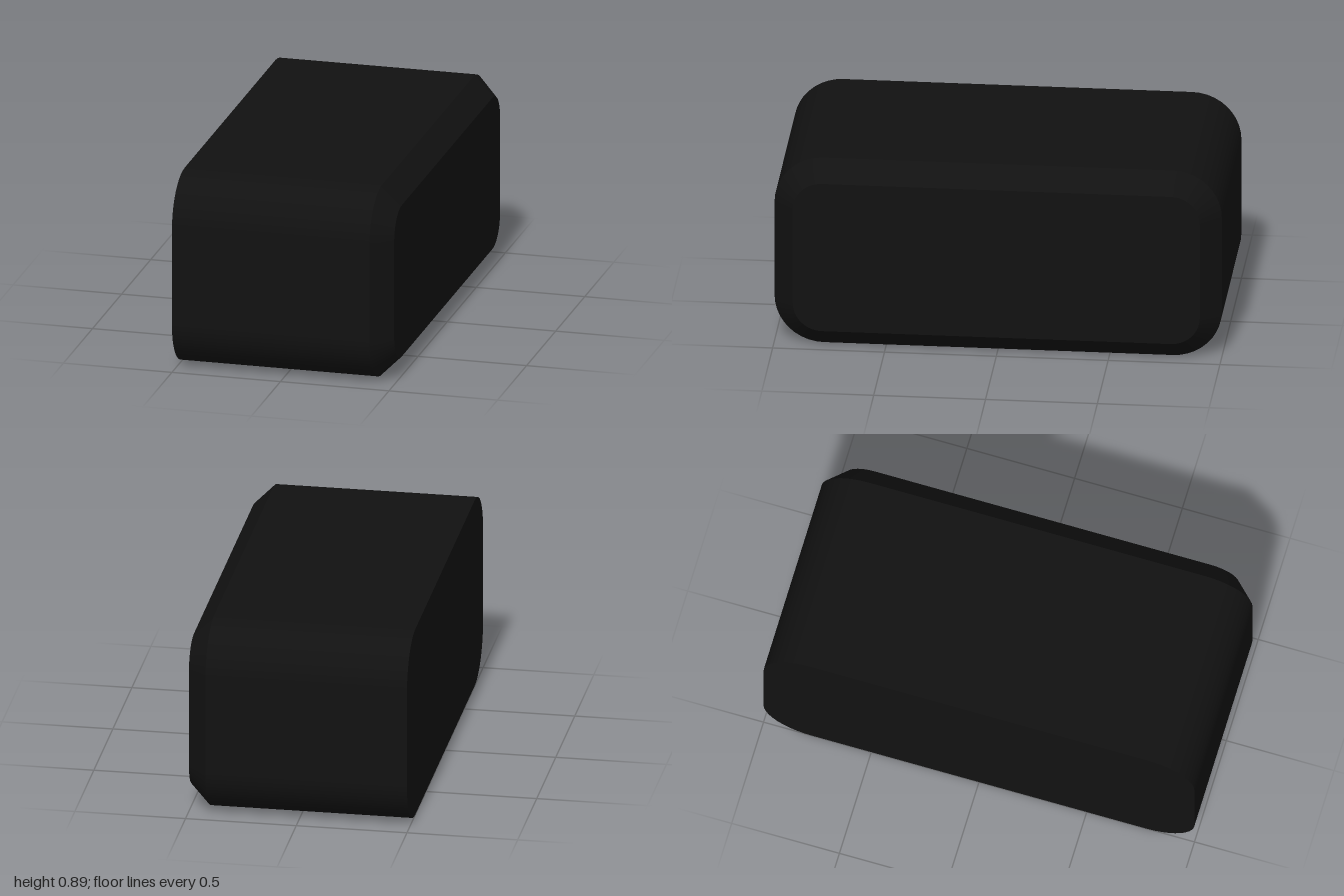
import * as THREE from 'three';

const HEIGHT = 0.89, RADIUS = 0.22, CHAMFER = 0.09, STEPS = 10;

// Rounded rectangle in the z/y plane: corner centres plus outward directions
function outline() {
  const points = [];
  const cz = 1 - RADIUS, cy = HEIGHT / 2 - RADIUS;
  [[1, 1], [-1, 1], [-1, -1], [1, -1]].forEach(([sz, sy], corner) => {
    for (let i = 0; i <= STEPS; i++) {
      const a = (corner + i / STEPS) * Math.PI / 2;
      points.push({ z: sz * cz, y: sy * cy, dz: Math.cos(a), dy: Math.sin(a) });
    }
  });
  points.push(points[0]);
  return points;
}

// Each band joins two sections [x, corner radius, scale]; nx and nr give its normal
function loft(bands) {
  const pos = [], nor = [], index = [];
  const points = outline();
  for (const { from, to, nx, nr } of bands) {
    const base = pos.length / 3;
    for (const p of points) {
      for (const [x, r, scale] of [from, to]) {
        pos.push(x, HEIGHT / 2 + scale * (p.y + r * p.dy), scale * (p.z + r * p.dz));
        nor.push(nx, nr * p.dy, nr * p.dz);
      }
    }
    for (let i = 0; i < points.length - 1; i++) {
      const a = base + 2 * i;
      index.push(a, a + 1, a + 3);
      if (from[2] > 0) index.push(a, a + 3, a + 2);
    }
  }
  const geometry = new THREE.BufferGeometry();
  geometry.setAttribute('position', new THREE.Float32BufferAttribute(pos, 3));
  geometry.setAttribute('normal', new THREE.Float32BufferAttribute(nor, 3));
  geometry.setIndex(index);
  return geometry;
}

export function createModel() {
  const group = new THREE.Group();
  group.name = 'chamferedBlock';

  const inner = RADIUS - CHAMFER, shoulder = 0.5 - CHAMFER;
  const geometry = loft([
    // flat end
    { from: [-0.5, RADIUS, 0], to: [-0.5, RADIUS, 1], nx: -1, nr: 0 },
    // rounded sides
    { from: [-0.5, RADIUS, 1], to: [shoulder, RADIUS, 1], nx: 0, nr: 1 },
    // chamfer
    { from: [shoulder, RADIUS, 1], to: [0.5, inner, 1], nx: Math.SQRT1_2, nr: Math.SQRT1_2 },
    // chamfered end face
    { from: [0.5, inner, 1], to: [0.5, inner, 0], nx: 1, nr: 0 },
  ]);

  const body = new THREE.Mesh(geometry, new THREE.MeshStandardMaterial({ color: 0x111111 }));
  body.name = 'body';
  group.add(body);
  return group;
}
